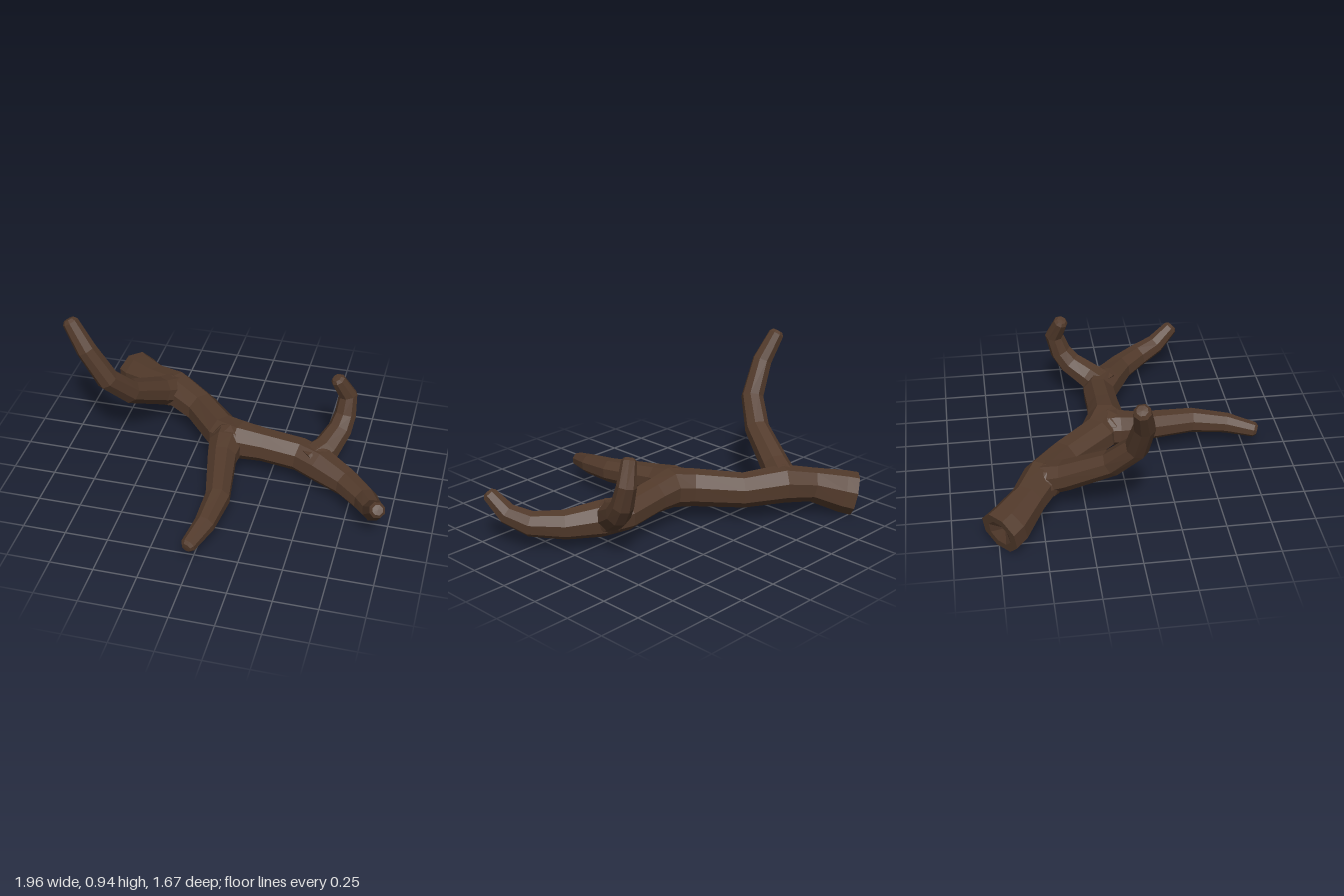
import * as THREE from 'three';

const SIDES = 8;

// Sweeps a faceted limb through points [x, y, z, radius].
// The tip gets a small chamfer; hollowStart sinks the first end like a broken stump.
function limbGeometry(points, hollowStart = false) {
  const centres = points.map(p => new THREE.Vector3(p[0], p[1], p[2]));
  const last = centres.length - 1;
  const dir = (a, b) => centres[b].clone().sub(centres[a]).normalize();
  const tangents = centres.map((_, i) => {
    if (i === 0) return dir(0, 1);
    if (i === last) return dir(last - 1, last);
    return dir(i - 1, i).add(dir(i, i + 1)).normalize();
  });

  const positions = [], index = [];
  const side = new THREE.Vector3(0, 1, 0);
  const addRing = (c, t, r) => {
    side.addScaledVector(t, -side.dot(t)).normalize();
    const other = t.clone().cross(side);
    for (let j = 0; j < SIDES; j++) {
      const a = ((j + 0.5) / SIDES) * Math.PI * 2;
      const v = c.clone().addScaledVector(side, r * Math.cos(a)).addScaledVector(other, r * Math.sin(a));
      positions.push(v.x, v.y, v.z);
    }
  };

  // Rings: optional stump rim, body, chamfered tip
  let rings = 0;
  const r0 = points[0][3], r1 = points[last][3];
  if (hollowStart) {
    addRing(centres[0], tangents[0], r0 * 0.62);
    rings++;
  }
  centres.forEach((c, i) => { addRing(c, tangents[i], points[i][3]); rings++; });
  addRing(centres[last].clone().addScaledVector(tangents[last], r1 * 0.4), tangents[last], r1 * 0.65);
  rings++;

  for (let i = 0; i < rings - 1; i++) {
    for (let j = 0; j < SIDES; j++) {
      const a = i * SIDES + j, b = i * SIDES + (j + 1) % SIDES;
      index.push(a, b, b + SIDES, a, b + SIDES, a + SIDES);
    }
  }

  // End caps
  const start = centres[0].clone().addScaledVector(tangents[0], hollowStart ? r0 * 0.35 : 0);
  const end = centres[last].clone().addScaledVector(tangents[last], r1 * 0.45);
  const s = rings * SIDES, e = s + 1, top = (rings - 1) * SIDES;
  positions.push(...start.toArray(), ...end.toArray());
  for (let j = 0; j < SIDES; j++) {
    const k = (j + 1) % SIDES;
    index.push(s, k, j, e, top + j, top + k);
  }

  const geometry = new THREE.BufferGeometry();
  geometry.setAttribute('position', new THREE.Float32BufferAttribute(positions, 3));
  geometry.setIndex(index);
  geometry.computeVertexNormals();
  return geometry;
}

export function createModel() {
  const group = new THREE.Group();
  group.name = 'driftwoodBranch';
  const bark = new THREE.MeshStandardMaterial({ color: 0x523a2b, flatShading: true });
  bark.name = 'darkBark';

  const limbs = {
    // Main stem, from the flared broken base to the drooping right tip
    mainStem: [
      [-0.79, 0.13, -0.745, 0.128], [-0.74, 0.145, -0.69, 0.125], [-0.6, 0.195, -0.575, 0.1],
      [-0.45, 0.22, -0.485, 0.112], [-0.25, 0.2, -0.35, 0.102], [-0.06, 0.21, -0.13, 0.11],
      [0.06, 0.225, -0.065, 0.115], [0.2, 0.215, -0.065, 0.1], [0.42, 0.185, -0.065, 0.1],
      [0.56, 0.175, -0.005, 0.104], [0.73, 0.16, 0.1, 0.084], [0.86, 0.165, 0.235, 0.073],
      [0.92, 0.205, 0.36, 0.062], [0.955, 0.3, 0.465, 0.046],
    ],
    // Long limb reaching forward
    frontLimb: [
      [-0.01, 0.22, -0.12, 0.1], [-0.01, 0.215, 0.0, 0.105], [-0.005, 0.21, 0.11, 0.088],
      [0.055, 0.185, 0.44, 0.073], [0.035, 0.16, 0.65, 0.06], [-0.015, 0.13, 0.81, 0.044],
    ],
    // Tall limb rising to the side
    tallLimb: [
      [-0.45, 0.22, -0.49, 0.1], [-0.52, 0.28, -0.36, 0.086], [-0.63, 0.42, -0.12, 0.074],
      [-0.72, 0.57, 0.0, 0.068], [-0.83, 0.77, 0.022, 0.06], [-0.925, 0.925, -0.005, 0.048],
    ],
    // Short crooked limb at the back
    crookedLimb: [
      [0.48, 0.18, -0.01, 0.095], [0.57, 0.225, -0.11, 0.083], [0.625, 0.295, -0.22, 0.072],
      [0.645, 0.37, -0.275, 0.064], [0.648, 0.485, -0.31, 0.056], [0.59, 0.605, -0.272, 0.043],
    ],
  };

  for (const [name, points] of Object.entries(limbs)) {
    const mesh = new THREE.Mesh(limbGeometry(points, name === 'mainStem'), bark);
    mesh.name = name;
    group.add(mesh);
  }

  // Swollen knots that blend the forks
  const knots = [[-0.47, 0.225, -0.465, 0.115], [0.01, 0.22, -0.06, 0.122], [0.53, 0.185, -0.035, 0.11]];
  for (const [x, y, z, r] of knots) {
    const knot = new THREE.Mesh(new THREE.IcosahedronGeometry(r, 1), bark);
    knot.name = 'forkKnot';
    knot.position.set(x, y, z);
    knot.scale.y = 0.9;
    group.add(knot);
  }
  return group;
}
